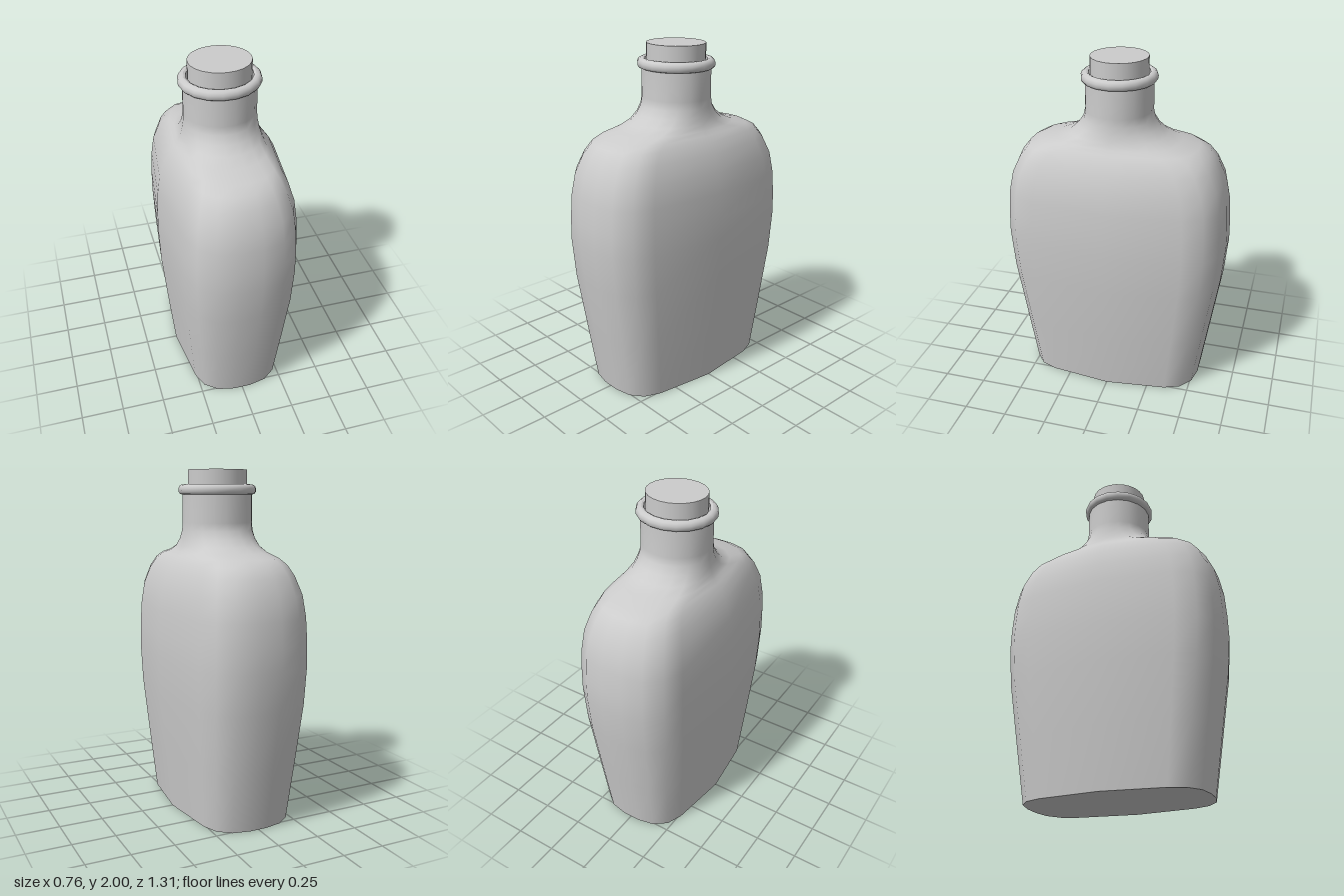
import * as THREE from 'three';

const SIDES = 18;
// One quadrant of the flat body's outline, as fractions of half width and half depth
const BODY = [[1, 0], [0.86, 0.675], [0.74, 0.85], [0.5, 0.96], [0.17, 1]];
const material = new THREE.MeshStandardMaterial({ color: 0xcccccc, side: THREE.DoubleSide });

// Unit outline point i, blended from the body outline (round = 0) to a circle (round = 1)
function outline(i, round) {
  const a = (i / SIDES) * Math.PI * 2;
  const c = Math.cos(a), s = Math.sin(a);
  const half = i % 9;
  const q = i % SIDES > 9 ? SIDES - i : i;
  const p = BODY[q <= 4 ? q : 9 - q] ?? BODY[half];
  const x = Math.sign(c) * p[0], z = Math.sign(s) * p[1];
  return [x + (c - x) * round, z + (s - z) * round];
}

// Skin a list of rings [y, halfWidth, halfDepth, round]
function loft(name, rings) {
  const positions = [], index = [];
  rings.forEach(([y, hx, hz, round], j) => {
    for (let i = 0; i < SIDES; i++) {
      const [x, z] = outline(i, round);
      positions.push(x * hx, y, z * hz);
      if (j === rings.length - 1) continue;
      const n = (i + 1) % SIDES;
      const a = j * SIDES + i, b = j * SIDES + n;
      index.push(a, a + SIDES, b, b, a + SIDES, b + SIDES);
    }
  });
  const geometry = new THREE.BufferGeometry();
  geometry.setAttribute('position', new THREE.Float32BufferAttribute(positions, 3));
  geometry.setIndex(index);
  geometry.computeVertexNormals();
  const mesh = new THREE.Mesh(geometry, material);
  mesh.name = name;
  return mesh;
}

// Rings of the round parts, slightly flattened in depth
const roundRing = ([y, r]) => [y, r, r * 0.935, 1];

export function createModel() {
  const group = new THREE.Group();
  group.name = 'flaskBottle';

  // Flat body running through the shoulders into the round neck
  group.add(loft('body', [
    [0, 0.305, 0.53, 0],
    [0.35, 0.34, 0.583, 0],
    [0.7, 0.372, 0.636, 0],
    [0.93, 0.38, 0.656, 0],
    [1.06, 0.378, 0.653, 0],
    [1.2, 0.37, 0.643, 0],
    [1.32, 0.354, 0.618, 0],
    [1.42, 0.32, 0.572, 0.03],
    [1.48, 0.288, 0.525, 0.08],
    [1.513, 0.262, 0.465, 0.18],
    [1.537, 0.243, 0.36, 0.45],
    [1.568, 0.228, 0.282, 0.72],
    [1.61, 0.216, 0.235, 0.9],
    [1.655, 0.208, 0.204, 1],
    [1.7, 0.205, 0.193, 1],
    [1.865, 0.205, 0.192, 1],
  ]));

  // Flat base
  group.add(loft('base', [[0, 0, 0, 0], [0, 0.305, 0.53, 0]]));

  // Rolled lip
  group.add(loft('lip', [
    [1.858, 0.203], [1.863, 0.219], [1.875, 0.228], [1.893, 0.229],
    [1.908, 0.222], [1.916, 0.209], [1.917, 0.196],
  ].map(roundRing)));

  // Rim and inner wall of the mouth
  group.add(loft('rim', [[1.917, 0.196], [1.912, 0.184]].map(roundRing)));
  group.add(loft('mouthWall', [[1.912, 0.184], [1.75, 0.18]].map(roundRing)));

  // Stopper
  const stopper = new THREE.Mesh(new THREE.CylinderGeometry(0.174, 0.174, 0.26, 24), material);
  stopper.name = 'stopper';
  stopper.scale.z = 0.935;
  stopper.position.y = 1.87;
  group.add(stopper);

  return group;
}
